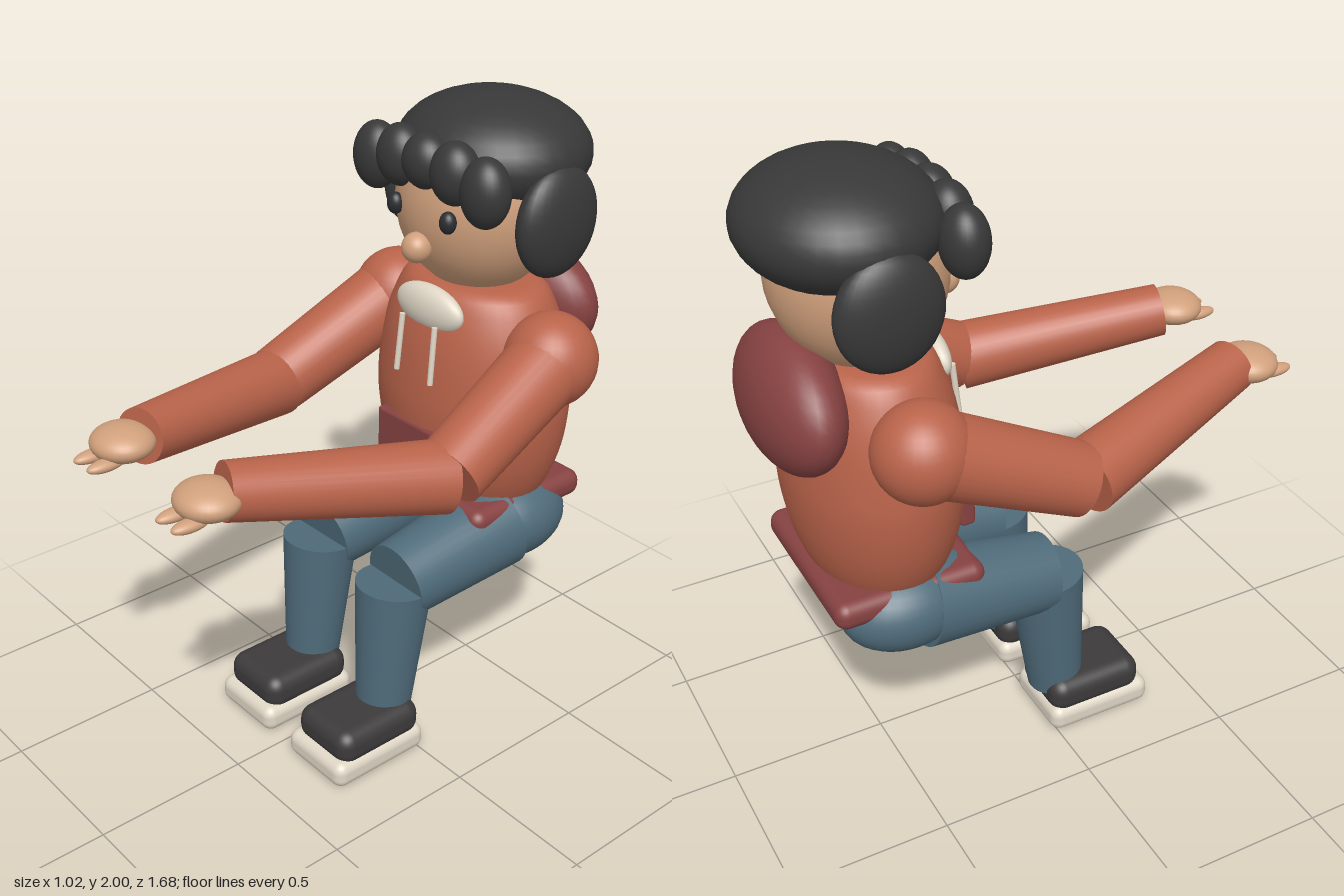
import * as THREE from 'three';
import { RoundedBoxGeometry } from 'three/addons/geometries/RoundedBoxGeometry.js';

const mat = (name, color) => {
  const m = new THREE.MeshStandardMaterial({ color });
  m.name = name;
  return m;
};

export function createModel() {
  const skin = mat('skin', 0xd0a07c);
  const hair = mat('hair', 0x383838);
  const eye = mat('eye', 0x2b2d31);
  const hoodie = mat('hoodie', 0xb9634a);
  const trim = mat('hoodie trim', 0x874242);
  const jeans = mat('jeans', 0x4f6b7a);
  const cream = mat('cream', 0xdfd6c5);
  const shoe = mat('shoe', 0x3c3a3b);

  const root = new THREE.Group();
  root.name = 'seatedFigure';

  const add = (name, geometry, material, parent, pos = [0, 0, 0]) => {
    const mesh = new THREE.Mesh(geometry, material);
    mesh.name = name;
    mesh.position.set(...pos);
    parent.add(mesh);
    return mesh;
  };
  const ellipsoid = (name, material, parent, pos, radii) => {
    const g = new THREE.SphereGeometry(1, 32, 20).scale(...radii);
    return add(name, g, material, parent, pos);
  };
  const roundedBox = (name, material, parent, pos, size, radius) =>
    add(name, new RoundedBoxGeometry(...size, 4, radius), material, parent, pos);
  // Tapered cylinder running from point a to point b
  const limb = (name, material, parent, a, b, ra, rb) => {
    const from = new THREE.Vector3(...a), to = new THREE.Vector3(...b);
    const dir = to.clone().sub(from);
    const g = new THREE.CylinderGeometry(rb, ra, dir.length(), 32);
    const mesh = add(name, g, material, parent);
    mesh.position.copy(from).add(to).multiplyScalar(0.5);
    mesh.quaternion.setFromUnitVectors(new THREE.Vector3(0, 1, 0), dir.normalize());
    return mesh;
  };

  // Torso: barrel-shaped lathe, flattened front to back
  const profile = [
    [0.001, 0.575], [0.1, 0.595], [0.21, 0.665], [0.285, 0.77], [0.33, 0.89], [0.35, 1.02],
    [0.345, 1.13], [0.325, 1.25], [0.29, 1.35], [0.24, 1.425], [0.15, 1.44], [0.001, 1.44],
  ].map(([x, y]) => new THREE.Vector2(x, y));
  const curve = new THREE.SplineCurve(profile).getPoints(40);
  curve.forEach((p) => { p.x = Math.max(p.x, 0); });
  add('torso', new THREE.LatheGeometry(curve, 40).scale(1, 1, 0.75), hoodie, root, [0, 0, -0.48]);

  // Hoodie details
  const hood = ellipsoid('hood', trim, root, [0, 1.32, -0.705], [0.29, 0.2, 0.132]);
  hood.rotation.x = 0.12;
  roundedBox('hem', trim, root, [0, 0.718, -0.48], [0.58, 0.09, 0.48], 0.04);
  roundedBox('pocket', trim, root, [0, 0.905, -0.24], [0.32, 0.17, 0.05], 0.012);
  ellipsoid('collar', cream, root, [0, 1.367, -0.287], [0.143, 0.073, 0.045]);

  // Head and face
  const head = new THREE.Group();
  head.name = 'head';
  root.add(head);
  ellipsoid('face', skin, head, [0, 1.68, -0.485], [0.265, 0.29, 0.257]);
  ellipsoid('nose', skin, head, [0, 1.575, -0.227], [0.047, 0.047, 0.047]);
  ellipsoid('hairCap', hair, head, [0, 1.825, -0.53], [0.31, 0.175, 0.287]);

  // Fringe of overlapping curls
  for (let i = -2; i <= 2; i++) {
    const k = Math.abs(i);
    ellipsoid('fringeCurl', hair, head,
      [i * 0.117, 1.835 - 0.01 * k * k, -0.26 - 0.003 * k * k],
      [0.08, 0.085 + 0.01 * k, 0.07]);
  }

  for (const s of [1, -1]) {
    const side = s > 0 ? 'left' : 'right';

    // Eye, side hair and drawstring
    ellipsoid(side + 'Eye', eye, head, [s * 0.115, 1.68, -0.242], [0.027, 0.034, 0.025]);
    ellipsoid(side + 'SideHair', hair, head, [s * 0.288, 1.67, -0.515], [0.068, 0.172, 0.157]);
    limb(side + 'Drawstring', cream, root, [s * 0.073, 1.335, -0.24], [s * 0.077, 1.15, -0.222], 0.009, 0.009);

    // Arm reaching forward
    const arm = new THREE.Group();
    arm.name = side + 'Arm';
    root.add(arm);
    ellipsoid('shoulder', hoodie, arm, [s * 0.345, 1.262, -0.462], [0.145, 0.148, 0.147]);
    limb('upperArm', hoodie, arm, [s * 0.355, 1.258, -0.44], [s * 0.403, 1.06, 0], 0.125, 0.11);
    limb('forearm', hoodie, arm, [s * 0.4, 1.055, 0.01], [s * 0.205, 1.155, 0.645], 0.11, 0.085);
    const hand = new THREE.Group();
    hand.name = 'hand';
    hand.position.set(s * 0.21, 1.155, 0.7);
    arm.add(hand);
    ellipsoid('palm', skin, hand, [0, 0, 0], [0.1, 0.052, 0.095]);
    for (const f of [-0.036, 0.036])
      ellipsoid('finger', skin, hand, [f, -0.033, 0.08], [0.026, 0.019, 0.062]);

    // Bent leg
    const leg = new THREE.Group();
    leg.name = side + 'Leg';
    root.add(leg);
    ellipsoid('hip', jeans, leg, [s * 0.2, 0.648, -0.48], [0.145, 0.135, 0.2]);
    limb('thigh', jeans, leg, [s * 0.19, 0.635, -0.42], [s * 0.182, 0.578, 0], 0.15, 0.125);
    limb('shin', jeans, leg, [s * 0.183, 0.58, 0.008], [s * 0.183, 0.125, 0.05], 0.122, 0.088);
    roundedBox('shoeUpper', shoe, leg, [s * 0.183, 0.12, 0.15], [0.25, 0.12, 0.325], 0.05);
    roundedBox('shoeSole', cream, leg, [s * 0.182, 0.045, 0.16], [0.268, 0.09, 0.36], 0.035);
  }

  return root;
}
